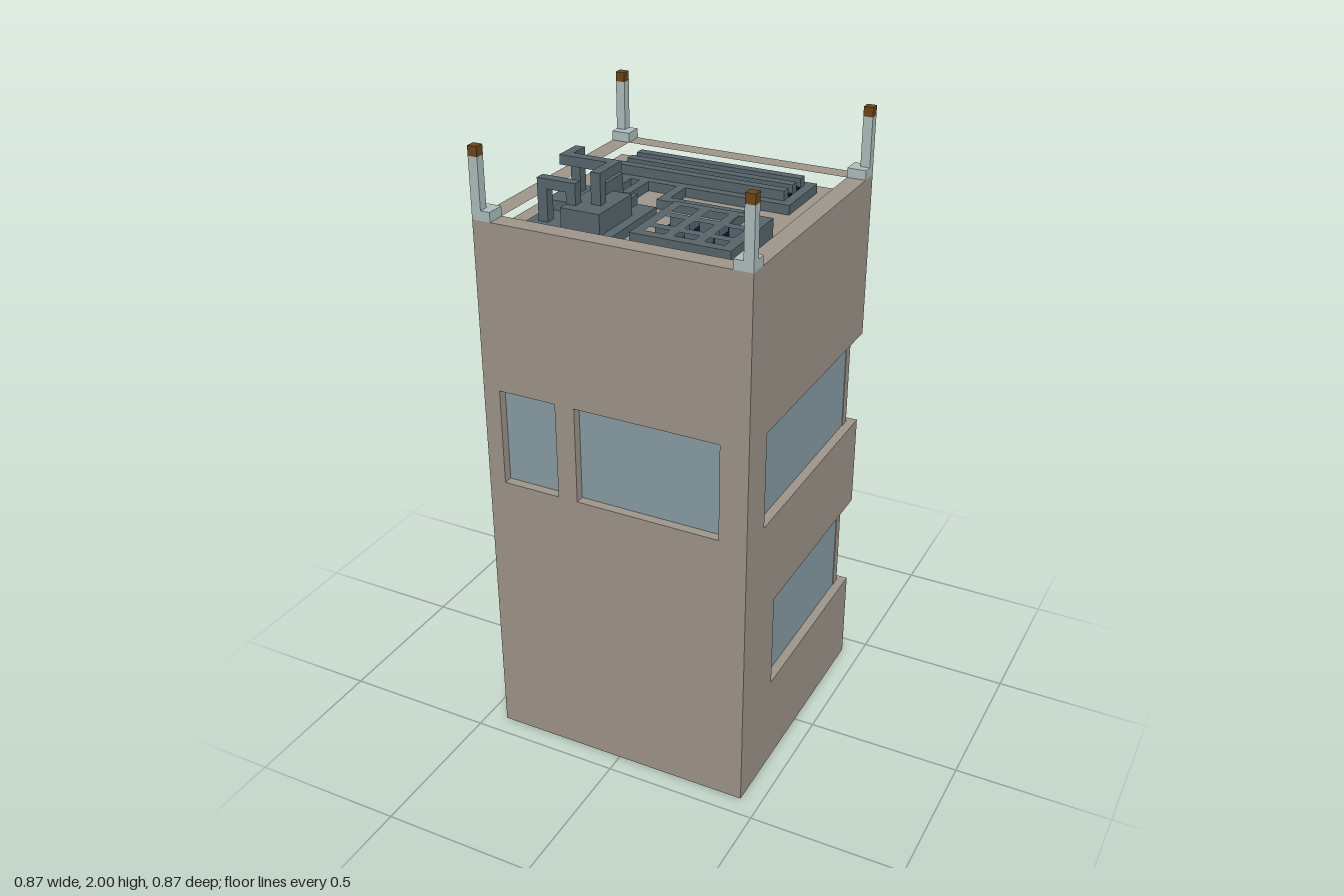
import * as THREE from 'three';

const mat = (name, color) => {
  const m = new THREE.MeshStandardMaterial({ color });
  m.name = name;
  return m;
};

export function createModel() {
  const concrete = mat('concrete', 0x9f958b);
  const glass = mat('glass', 0x889ea5);
  const metal = mat('darkMetal', 0x57666c);
  const navy = mat('navy', 0x0d0d2e);
  const pale = mat('paleMetal', 0xadbfbe);
  const brown = mat('brownCap', 0x6e4518);

  const root = new THREE.Group();
  root.name = 'towerBlock';
  const group = (name) => {
    const g = new THREE.Group();
    g.name = name;
    root.add(g);
    return g;
  };

  // Box given by its extents on each axis
  const box = (parent, name, m, [x0, x1], [y0, y1], [z0, z1]) => {
    const mesh = new THREE.Mesh(new THREE.BoxGeometry(x1 - x0, y1 - y0, z1 - z0), m);
    mesh.position.set((x0 + x1) / 2, (y0 + y1) / 2, (z0 + z1) / 2);
    mesh.name = name;
    parent.add(mesh);
  };

  // Flat plate in plan with rectangular holes, extruded upwards
  const plate = (parent, name, m, [x0, x1], [z0, z1], [y0, y1], holes) => {
    const rect = (P, a, b, c, d) => new P([[a, c], [b, c], [b, d], [a, d]].map(([x, z]) => new THREE.Vector2(x, -z)));
    const shape = rect(THREE.Shape, x0, x1, z0, z1);
    for (const [hx, hz] of holes) shape.holes.push(rect(THREE.Path, ...hx, ...hz));
    const geo = new THREE.ExtrudeGeometry(shape, { depth: y1 - y0, bevelEnabled: false });
    geo.rotateX(-Math.PI / 2).translate(0, y0, 0);
    const mesh = new THREE.Mesh(geo, m);
    mesh.name = name;
    parent.add(mesh);
  };

  const W = 0.435, C = 0.405, P = 0.375;   // outer wall, glass line, inner parapet
  const ROOF = 1.72, TOP = 1.785;
  const LOW = [0.31, 0.63], HIGH = [0.94, 1.255];
  const full = [-W, W];

  // Solid storeys
  const body = group('building');
  for (const y of [[0, LOW[0]], [LOW[1], HIGH[0]], [HIGH[1], ROOF]]) box(body, 'solidStorey', concrete, full, y, full);
  plate(body, 'parapet', concrete, full, full, [ROOF, TOP], [[[-P, P], [-P, P]]]);

  // Recessed window bands
  const windows = group('windowBands');
  for (const y of [LOW, HIGH]) box(windows, 'glazing', glass, [-C, C], y, [-C, C]);

  // Upper band: wall around the openings
  for (const x of [[-W, -0.38], [-0.19, -0.125], [0.345, W]]) box(windows, 'upperFrontPier', concrete, x, HIGH, [C, W]);
  box(windows, 'upperLeftPier', concrete, [C, W], HIGH, [0.315, W]);
  box(windows, 'upperRightPier', concrete, [-W, -C], HIGH, [0.315, W]);

  // Lower band: wall around the openings
  box(windows, 'lowerFrontWall', concrete, full, LOW, [C, W]);
  box(windows, 'lowerLeftWall', concrete, [C, W], LOW, [0.22, W]);
  for (const z of [[-W, -P], [0.15, 0.25], [0.36, W]]) box(windows, 'lowerRightPier', concrete, [-W, -C], LOW, z);
  box(windows, 'lowerBackPier', concrete, [-W, -P], LOW, [-W, -C]);

  // Corner posts of the wrap-around windows
  const e = C + 0.002;
  for (const [x, y] of [[[P, e], LOW], [[P, e], HIGH], [[-e, -P], HIGH]]) box(windows, 'cornerPost', concrete, x, y, [-e, -P]);

  // Corner masts
  const masts = group('cornerMasts');
  const span = (s, a, b) => (s > 0 ? [a, b] : [-b, -a]);
  for (const sx of [-1, 1]) for (const sz of [-1, 1]) {
    box(masts, 'mastBase', pale, span(sx, P, W), [TOP, 1.815], span(sz, P, W));
    box(masts, 'mast', pale, span(sx, C, W), [1.815, 1.97], span(sz, C, W));
    box(masts, 'mastCap', brown, span(sx, C, W), [1.97, 2], span(sz, C, W));
  }

  // Long ribbed vent
  const vent = group('longVent');
  box(vent, 'ventBase', metal, [-0.345, 0.28], [ROOF, 1.75], [-P, -0.16]);
  for (const z of [-0.345, -0.282, -0.22]) box(vent, 'ventRib', metal, [-0.313, 0.25], [1.75, 1.78], [z, z + 0.031]);
  for (const z of [-0.313, -0.251]) box(vent, 'ventSlot', navy, [-0.313, 0.25], [1.75, 1.754], [z, z + 0.031]);

  // Cooling unit with nine openings
  const cooler = group('coolingUnit');
  const holes = [];
  for (const x of [0.031, 0.124, 0.217]) for (const z of [[0.06, 0.123], [0.154, 0.217], [0.248, 0.28]])
    holes.push([[x, x + 0.062], z]);
  plate(cooler, 'coolerHousing', metal, [0, 0.312], [0.03, 0.312], [ROOF, 1.78], holes);
  box(cooler, 'coolerInside', navy, [0.01, 0.3], [ROOF, 1.73], [0.04, 0.3]);

  // Pipes across the roof
  const pipes = group('roofPipes');
  for (const [x, z] of [
    [[-0.282, -0.251], [-0.16, 0.03]],
    [[-0.22, -0.19], [-0.16, 0.03]],
    [[-0.094, -0.063], [-0.16, -0.03]],
    [[-0.063, 0.185], [-0.063, -0.03]],
    [[0.155, 0.185], [-0.03, 0.03]],
  ]) box(pipes, 'roofPipe', metal, x, [ROOF, 1.75], z);

  // Pump block with raised pipework
  const pump = group('pumpUnit');
  for (const [x, y, z] of [
    [[-0.345, -0.063], [ROOF, 1.75], [0.03, 0.312]],
    [[-0.345, -0.125], [1.75, 1.78], [0.03, 0.185]],
    [[-0.22, -0.094], [1.75, 1.815], [0.123, 0.312]],
    // upper pipe loop
    [[-0.313, -0.282], [1.75, 1.88], [0.06, 0.092]],
    [[-0.313, -0.282], [1.88, 1.91], [0.06, 0.154]],
    [[-0.282, -0.125], [1.88, 1.91], [0.123, 0.154]],
    [[-0.156, -0.125], [1.88, 1.91], [0.154, 0.248]],
    [[-0.156, -0.125], [1.815, 1.88], [0.217, 0.248]],
    // lower pipe loop
    [[-0.313, -0.282], [1.75, 1.85], [0.248, 0.28]],
    [[-0.313, -0.188], [1.85, 1.88], [0.248, 0.28]],
    [[-0.219, -0.188], [1.815, 1.85], [0.248, 0.28]],
    [[-0.188, -0.156], [1.815, 1.85], [0.06, 0.185]],
    [[-0.188, -0.156], [1.78, 1.815], [0.06, 0.123]],
  ]) box(pump, 'pumpPart', metal, x, y, z);

  return root;
}
